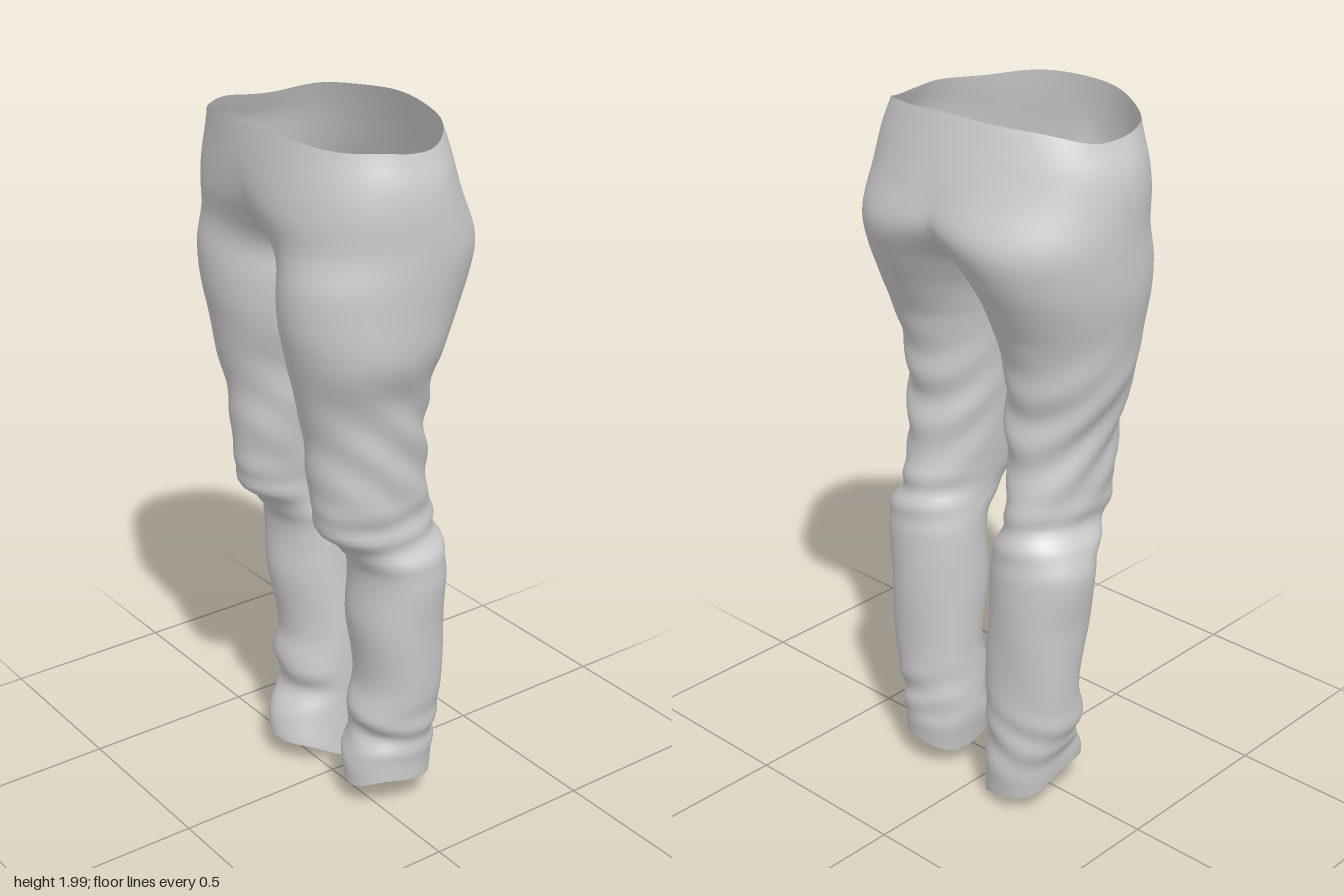
import * as THREE from 'three';
import { mergeVertices } from 'three/addons/utils/BufferGeometryUtils.js';

// y, left outer x, left inner x, right outer x, right inner x, extra overlap at the back.
// A negative inner x means the two halves are joined at that height.
const WIDTHS = [
  [0.08, 0.285, 0.07, 0.26, 0.03, 0],
  [0.2, 0.29, 0.05, 0.28, 0.04, 0],
  [0.27, 0.30, 0.055, 0.305, 0.04, 0],
  [0.4, 0.32, 0.06, 0.312, 0.04, 0],
  [0.6, 0.33, 0.055, 0.328, 0.05, 0],
  [0.81, 0.335, 0.06, 0.34, 0.06, 0],
  [0.88, 0.308, 0.065, 0.302, 0.08, 0],
  [1.0, 0.315, 0.05, 0.305, 0.07, 0],
  [1.15, 0.322, 0.035, 0.317, 0.045, 0],
  [1.3, 0.34, 0.02, 0.357, 0.035, 0],
  [1.42, 0.385, 0.002, 0.375, 0.002, 0],
  [1.55, 0.395, -0.014, 0.397, -0.014, -0.015],
  [1.65, 0.40, -0.03, 0.40, -0.03, -0.07],
  [1.74, 0.40, -0.14, 0.40, -0.14, -0.11],
  [1.82, 0.397, -0.28, 0.397, -0.28, -0.07],
  [1.91, 0.383, -0.383, 0.383, -0.383, 0],
  [1.99, 0.355, -0.355, 0.355, -0.355, 0],
];
// y, front z, back z
const DEPTHS = [
  [0.08, 0.065, -0.19], [0.17, 0.065, -0.2], [0.24, 0.035, -0.195], [0.3, 0.055, -0.2],
  [0.4, 0.035, -0.2], [0.6, 0.06, -0.205], [0.79, 0.065, -0.2], [0.83, 0.09, -0.195],
  [0.9, 0.16, -0.175], [1.03, 0.185, -0.15], [1.2, 0.2, -0.14], [1.4, 0.25, -0.165],
  [1.5, 0.27, -0.21], [1.6, 0.272, -0.26], [1.7, 0.26, -0.295], [1.8, 0.28, -0.275],
  [1.9, 0.29, -0.245], [1.99, 0.29, -0.215],
];

const RINGS = 110, SEGS = 56, BOTTOM = 0.08, TOP = 1.99;
const { lerp, smoothstep } = THREE.MathUtils;

function smoothTable(rows) {
  const n = rows[0].length - 1;
  return new THREE.CubicInterpolant(rows.map(r => r[0]), rows.flatMap(r => r.slice(1)), n, new Float32Array(n));
}

const bell = (v, centre, width) => Math.exp(-(((v - centre) / width) ** 2));

// Cloth creases: diagonal drag lines on the thigh, bunching at knee and ankle
function folds(y, a, z, side) {
  const front = Math.max(0, Math.sin(a));
  const thigh = 0.008 * (1 - 0.7 * front) * bell(y, 1.15, 0.18) * Math.sin((y - z * 0.9) * 42 + side);
  const knee = 0.007 * bell(y, 0.88, 0.08) * Math.sin(y * 70 + 2 * Math.sin(a + side));
  const ankle = 0.006 * bell(y, 0.24, 0.08) * Math.sin(y * 60 + 3 * Math.cos(a) + side);
  const shin = 0.003 * bell(y, 0.55, 0.25) * Math.sin(3 * a + 9 * y + side);
  // the right thigh is a little flatter and its hem flares forward
  const uneven = side < 0 ? front * (0.035 * bell(y, 0.08, 0.08) - 0.018 * bell(y, 1.45, 0.2)) : 0;
  return thigh + knee + ankle + shin + uneven;
}

// One half of the garment, swept from hem to waist; side is +1 left, -1 right
function addHalf(side, positions, indices) {
  const widths = smoothTable(WIDTHS), depths = smoothTable(DEPTHS);
  const start = positions.length / 3;
  for (let i = 0; i <= RINGS; i++) {
    const y = BOTTOM + (TOP - BOTTOM) * i / RINGS;
    const w = widths.evaluate(y), d = depths.evaluate(y);
    const outer = side > 0 ? w[0] : w[2], frontInner = side > 0 ? w[1] : w[3];
    const joined = frontInner < 0;
    const backInner = joined ? frontInner + Math.min(0, w[4]) : frontInner;
    const cz = (d[0] + d[1]) / 2, rz = (d[0] - d[1]) / 2;
    const hemFade = smoothstep(0.3 - y, 0, 0.22);
    const waistFade = smoothstep(y, 1.8, TOP);
    const hipFade = smoothstep(y, 1.3, 1.6);
    for (let j = 0; j <= SEGS; j++) {
      const u = 2 * j / SEGS - 1;
      const inner = u < 0 ? backInner : frontInner;
      const cx = (outer + inner) / 2, rx = (outer - inner) / 2;
      // the ring is cut open where it meets the centre plane
      const a = u * (joined ? Math.acos(Math.max(-1, -cx / rx)) : Math.PI);
      const c = Math.cos(a), s = Math.sin(a);
      const power = u < 0 ? lerp(lerp(0.9, 1, hipFade), 0.8, waistFade) : lerp(0.9, 1.03, waistFade);
      const sz = Math.sign(s) * Math.abs(s) ** power;
      const push = folds(y, a, cz + rz * sz, side) * (1 - u ** 4);
      const onSeam = joined && (j === 0 || j === SEGS);
      const x = onSeam ? 0 : Math.max(0, cx + rx * c + push * c);
      const z = cz + rz * sz + push * s;
      // wavy hem and dipped waistband
      const hem = side > 0
        ? 0.01 + 0.012 * c + 0.012 * Math.sin(3 * a)
        : -0.012 + 0.05 * Math.cos(a - 0.6) + 0.014 * Math.sin(3 * a + 0.6);
      const waist = 0.01 - 0.045 * c * c + 0.006 * Math.sin(6 * a) * c;
      positions.push(side * x, y + hem * hemFade + waist * waistFade, z);
    }
  }
  const row = SEGS + 1;
  for (let i = 0; i < RINGS; i++) {
    for (let j = 0; j < SEGS; j++) {
      const p = start + i * row + j, q = p + row;
      if (side > 0) indices.push(p, q, p + 1, q, q + 1, p + 1);
      else indices.push(p, p + 1, q, q, p + 1, q + 1);
    }
  }
}

export function createModel() {
  const positions = [], indices = [];
  for (const side of [1, -1]) addHalf(side, positions, indices);

  // weld the inseams and the centre seam so shading runs across them
  let geometry = new THREE.BufferGeometry();
  geometry.setAttribute('position', new THREE.Float32BufferAttribute(positions, 3));
  geometry.setIndex(indices);
  geometry = mergeVertices(geometry, 1e-4);
  geometry.computeVertexNormals();

  const cloth = new THREE.MeshStandardMaterial({ color: 0xcccccc, side: THREE.DoubleSide });
  const trousers = new THREE.Mesh(geometry, cloth);
  trousers.name = 'trousers';

  const model = new THREE.Group();
  model.name = 'trousersModel';
  model.add(trousers);
  return model;
}
